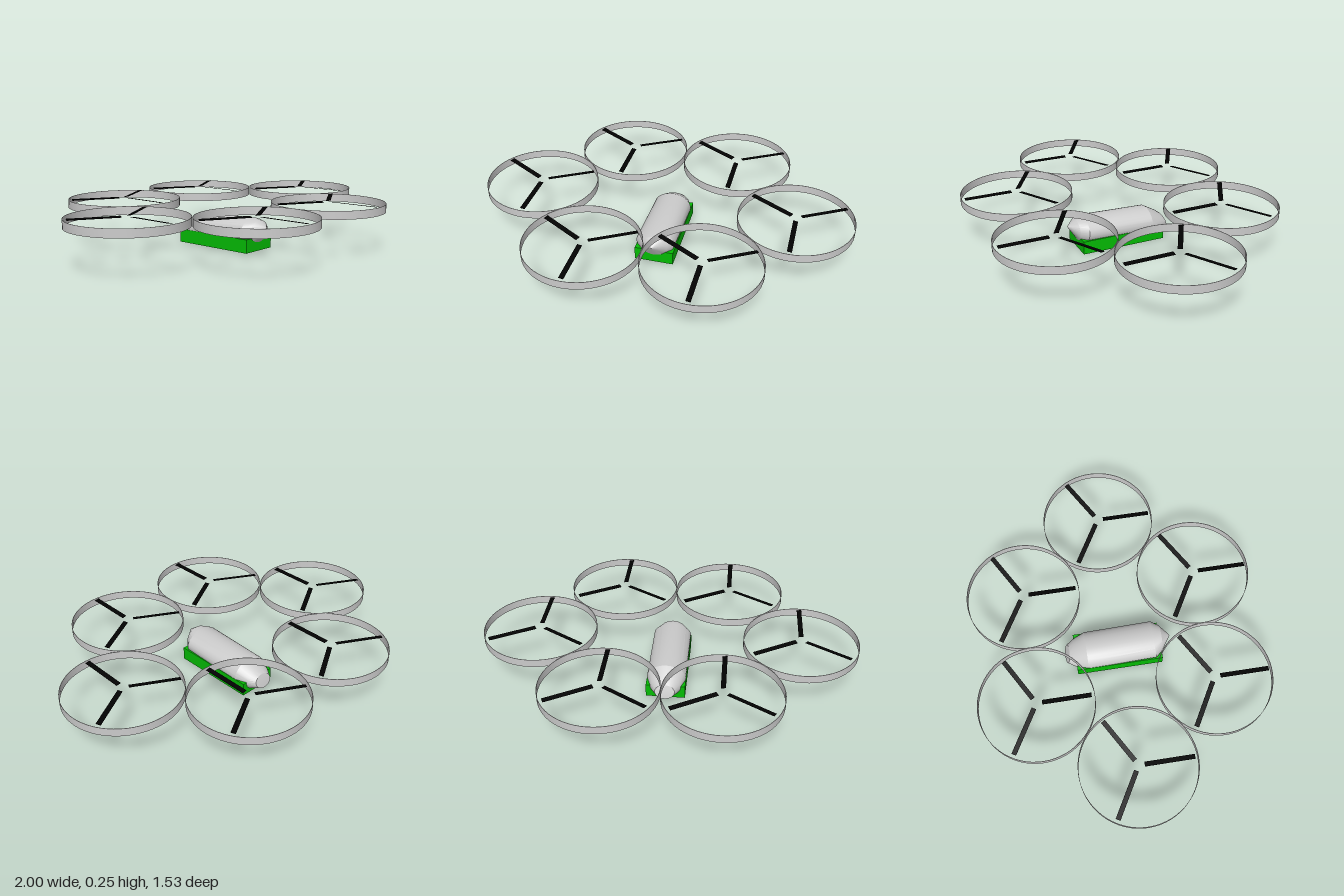
import * as THREE from 'three';
import { toCreasedNormals } from 'three/addons/utils/BufferGeometryUtils.js';

const grey = new THREE.MeshStandardMaterial({ color: 0xcccccc });
const greyThin = new THREE.MeshStandardMaterial({ color: 0xcccccc, side: THREE.DoubleSide });
const green = new THREE.MeshStandardMaterial({ color: 0x04bb04 });
const black = new THREE.MeshStandardMaterial({ color: 0x020202 });

function add(parent, name, geometry, material, x = 0, y = 0, z = 0) {
  const mesh = new THREE.Mesh(geometry, material);
  mesh.name = name;
  mesh.position.set(x, y, z);
  parent.add(mesh);
  return mesh;
}

// Skin over elliptical, tilted sections: [topZ, topY, bottomZ, bottomY, halfWidth]
function loft(sections, sides) {
  const positions = [], index = [];
  for (const [tz, ty, bz, by, w] of sections) {
    for (let i = 0; i < sides; i++) {
      const a = (i / sides) * Math.PI * 2;
      const t = (1 + Math.cos(a)) / 2;
      positions.push(w * Math.sin(a), by + (ty - by) * t, bz + (tz - bz) * t);
    }
  }
  for (let s = 0; s < sections.length - 1; s++) {
    for (let i = 0; i < sides; i++) {
      const a = s * sides + i, b = s * sides + (i + 1) % sides;
      index.push(a, b, a + sides, b, b + sides, a + sides);
    }
  }
  const g = new THREE.BufferGeometry();
  g.setAttribute('position', new THREE.Float32BufferAttribute(positions, 3));
  g.setIndex(index);
  return toCreasedNormals(g, 0.4);
}

// Thin guard ring with three slightly pitched blades resting at its rim level
function rotor(x, z) {
  const group = new THREE.Group();
  group.name = 'rotor';
  group.position.set(x, 0, z);
  const wall = [[0.301, 0.206], [0.303, 0.206], [0.303, 0.2495], [0.301, 0.2495], [0.301, 0.206]];
  const ring = new THREE.LatheGeometry(wall.map(([r, y]) => new THREE.Vector2(r, y)), 64);
  add(group, 'guardRing', toCreasedNormals(ring, 0.5), greyThin);
  for (let i = 0; i < 3; i++) {
    const arm = new THREE.Group();
    arm.name = 'bladeArm';
    arm.rotation.y = (i * Math.PI * 2) / 3;
    const blade = add(arm, 'blade', new THREE.BoxGeometry(0.025, 0.002, 0.255), black, 0, 0.2505, 0.1575);
    blade.rotation.z = -0.15;
    group.add(arm);
  }
  return group;
}

export function createModel() {
  const model = new THREE.Group();
  model.name = 'hexacopter';

  // Fuselage with pointed nose and slanted blunt tail
  const body = loft([
    [0.29, 0.13, 0.29, 0.13, 0],
    [0.242, 0.165, 0.237, 0.047, 0.072],
    [0.195, 0.172, 0.21, 0.035, 0.103],
    [-0.17, 0.162, -0.17, 0, 0.103],
    [-0.235, 0.125, -0.23, 0.01, 0.08],
    [-0.262, 0.105, -0.288, 0.035, 0.052],
    [-0.278, 0.07, -0.278, 0.07, 0],
  ], 32);
  add(model, 'fuselage', body, grey);

  // Tray under the fuselage
  add(model, 'tray', new THREE.BoxGeometry(0.207, 0.072, 0.47), green, 0, 0.039, 0.003);

  // Six rotors with touching rings
  for (const side of [-1, 1]) {
    model.add(rotor(side * 0.697, 0));
    for (const end of [-1, 1]) model.add(rotor(side * 0.303, end * 0.464));
  }
  return model;
}
